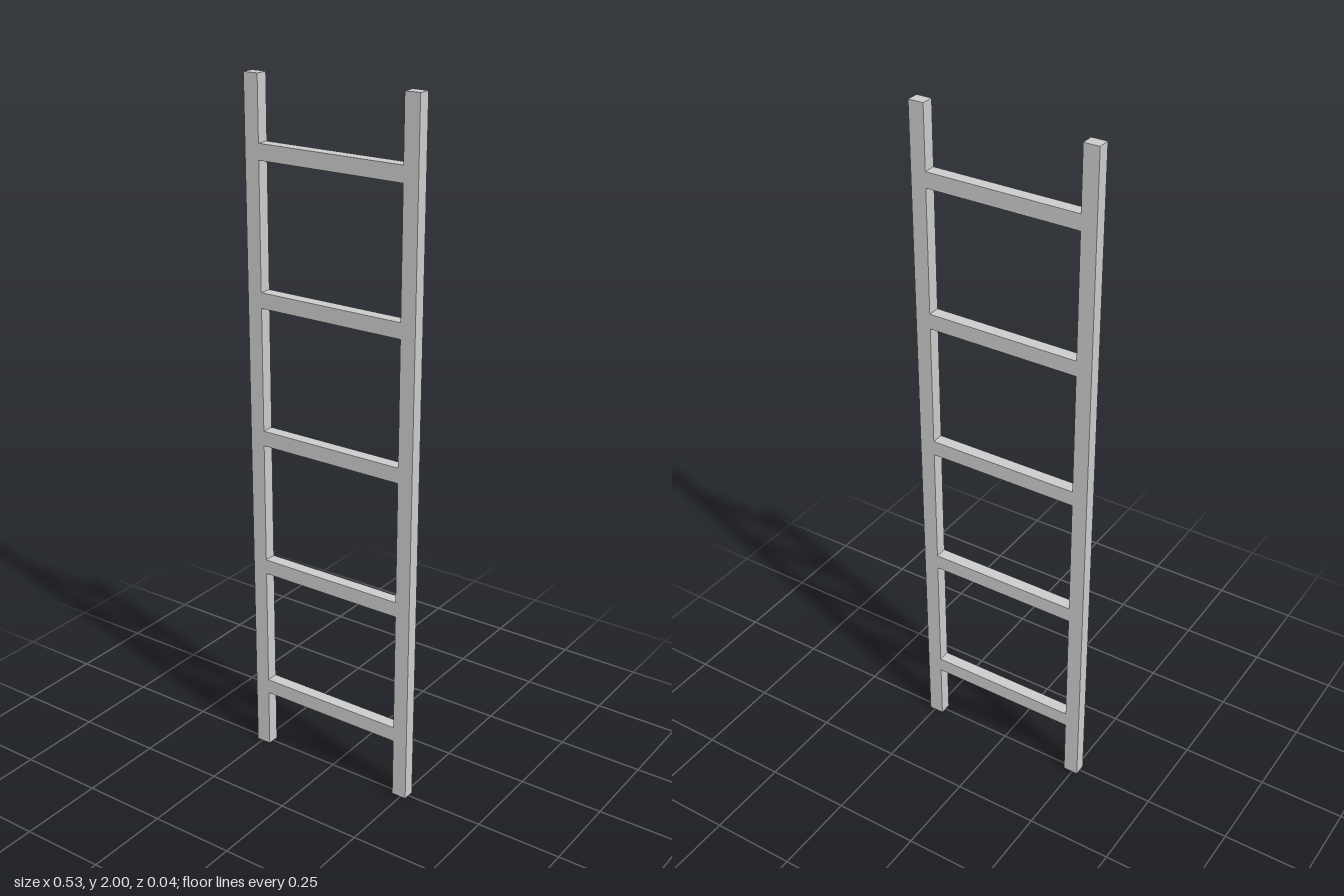
import * as THREE from 'three';

const HEIGHT = 2;
const BAR = 0.0444;    // face width of rails and rungs
const DEPTH = 0.0356;  // front-to-back thickness
const GAP = 0.4444;    // clear span between the rails

export function createModel() {
  const ladder = new THREE.Group();
  ladder.name = 'ladder';
  const material = new THREE.MeshStandardMaterial({ color: 0xcccccc });

  const addBar = (name, width, height, x, y) => {
    const bar = new THREE.Mesh(new THREE.BoxGeometry(width, height, DEPTH), material);
    bar.name = name;
    bar.position.set(x, y, 0);
    ladder.add(bar);
  };

  // Side rails
  const railX = (GAP + BAR) / 2;
  addBar('leftRail', BAR, HEIGHT, railX, HEIGHT / 2);
  addBar('rightRail', BAR, HEIGHT, -railX, HEIGHT / 2);

  // Evenly spaced rungs, flush with the rails and butted between them
  for (let i = 0; i < 5; i++) {
    addBar(`rung${i + 1}`, GAP, BAR, 0, 0.2 + i * 0.4);
  }

  return ladder;
}
